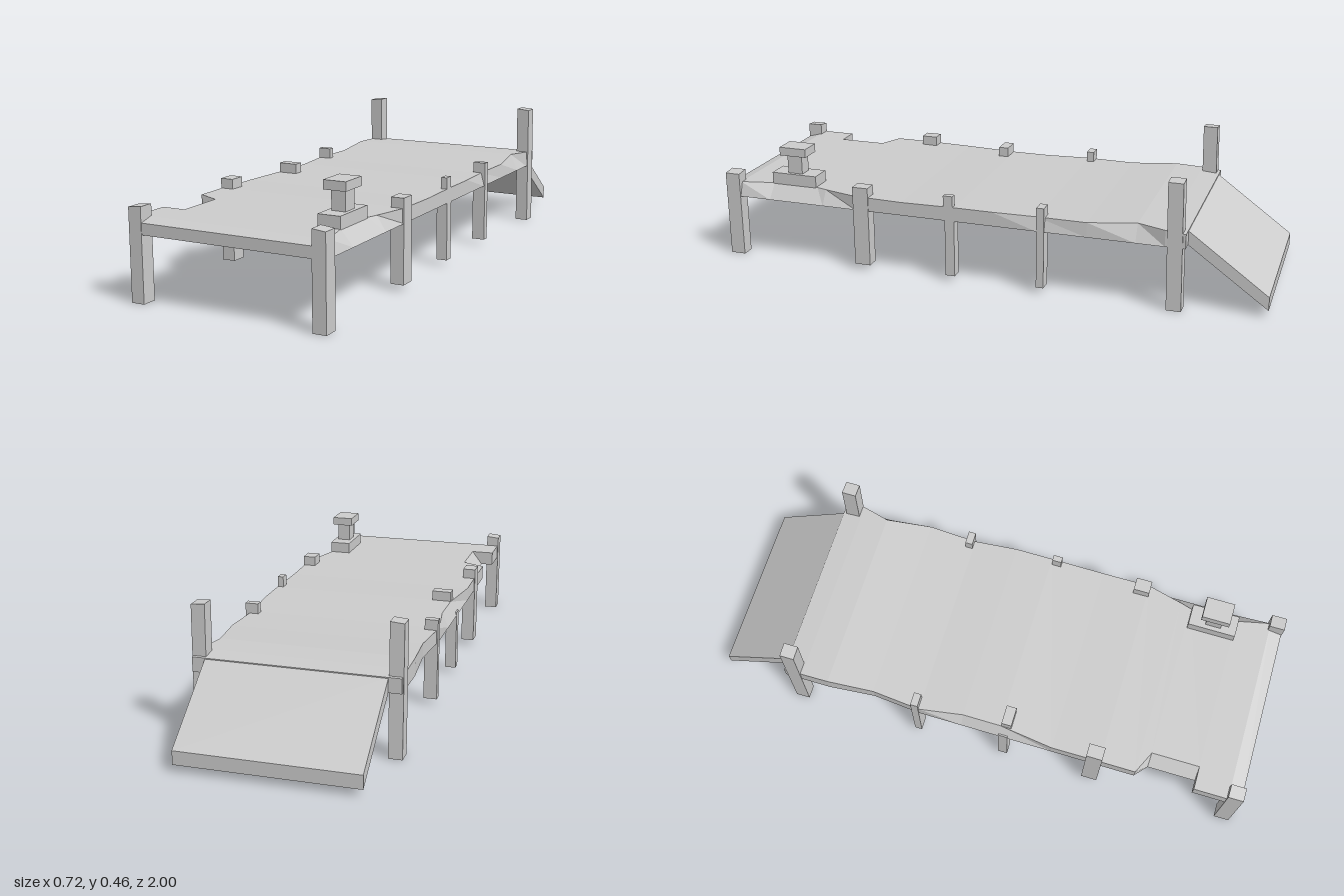
import * as THREE from 'three';

const material = new THREE.MeshStandardMaterial({ color: 0xcccccc, flatShading: true });

// Solid through four-cornered rings: each ring is LB, RB, RT, LT, rings in order of rising z (or y, see post)
function loft(name, rings) {
  const pos = [];
  const quad = (a, b, c, d) => pos.push(...a, ...b, ...c, ...a, ...c, ...d);
  for (let i = 0; i < rings.length - 1; i++) {
    for (let k = 0; k < 4; k++) {
      const n = (k + 1) % 4;
      quad(rings[i][k], rings[i][n], rings[i + 1][n], rings[i + 1][k]);
    }
  }
  const first = rings[0], last = rings[rings.length - 1];
  quad(first[3], first[2], first[1], first[0]);
  quad(last[0], last[1], last[2], last[3]);
  const geo = new THREE.BufferGeometry();
  geo.setAttribute('position', new THREE.Float32BufferAttribute(pos, 3));
  geo.computeVertexNormals();
  const mesh = new THREE.Mesh(geo, material);
  mesh.name = name;
  return mesh;
}

// Box given by its limits
function block(name, x0, x1, y0, y1, z0, z1) {
  const mesh = new THREE.Mesh(new THREE.BoxGeometry(x1 - x0, y1 - y0, z1 - z0), material);
  mesh.position.set((x0 + x1) / 2, (y0 + y1) / 2, (z0 + z1) / 2);
  mesh.name = name;
  return mesh;
}

// Post whose top leans in z and slopes down towards the outside
function post(name, x0, x1, y0, y1, z0, z1, lean = 0, slope = 0) {
  const mesh = block(name, x0, x1, y0, y1, z0, z1);
  const p = mesh.geometry.attributes.position;
  const side = Math.sign(x0 + x1);
  for (let i = 0; i < p.count; i++) {
    if (p.getY(i) < 0) continue;
    p.setZ(i, p.getZ(i) + lean);
    if (p.getX(i) * side > 0) p.setY(i, p.getY(i) - slope);
  }
  mesh.geometry.computeVertexNormals();
  return mesh;
}

export function createModel() {
  const model = new THREE.Group();

  // Deck stations: z, left top, left bottom, right top, right bottom, top height
  const stations = [
    [-0.72, -0.355, -0.355, 0.355, 0.355, 0.28],
    [-0.65, -0.355, -0.355, 0.353, 0.355, 0.286],
    [-0.55, -0.355, -0.355, 0.325, 0.355, 0.29],
    [-0.38, -0.34, -0.34, 0.35, 0.355, 0.28],
    [-0.2, -0.355, -0.355, 0.342, 0.355, 0.277],
    [-0.04, -0.33, -0.355, 0.355, 0.355, 0.28],
    [0.1, -0.33, -0.355, 0.355, 0.355, 0.28],
    [0.3, -0.355, -0.355, 0.355, 0.355, 0.277],
    [0.48, -0.355, -0.355, 0.355, 0.355, 0.28],
    [0.61, -0.355, -0.355, 0.322, 0.355, 0.28],
    [0.65, -0.27, -0.31, 0.31, 0.355, 0.28],
    [0.825, -0.27, -0.31, 0.31, 0.355, 0.28],
    [0.825, -0.355, -0.355, 0.31, 0.355, 0.28],
    [0.95, -0.355, -0.355, 0.338, 0.355, 0.28],
    [0.998, -0.355, -0.355, 0.35, 0.355, 0.267],
  ];
  model.add(loft('deck', stations.map(([z, lt, lb, rt, rb, y]) =>
    [[lb, 0.228, z], [rb, 0.228, z], [rt, y, z], [lt, y, z]])));

  // Ramp down from the back edge
  const rampRing = (z, y0, y1) => [[-0.31, y0, z], [0.31, y0, z], [0.31, y1, z], [-0.31, y1, z]];
  model.add(loft('ramp', [rampRing(-1, 0.025, 0.073), rampRing(-0.715, 0.23, 0.28)]));

  // Posts found on both sides
  for (const s of [-1, 1]) {
    const pair = (name, ...rest) => {
      const xs = [s * 0.31, s * 0.358].sort((a, b) => a - b);
      model.add(post(name, ...xs, ...rest));
    };
    pair('frontPost', 0, 0.32, 0.945, 1, 0, 0.005);
    pair('secondPost', 0.02, 0.315, 0.428, 0.487);
    pair('fourthPost', 0.02, 0.315, -0.23, -0.203);
    pair('backPost', 0, 0.46, -0.715, -0.663, 0.01, 0.004);
  }

  // Uneven third pair, its caps shifted against the legs
  model.add(block('thirdPostLeg', -0.355, -0.315, 0.02, 0.24, 0.1, 0.135));
  model.add(block('thirdPostLeg', 0.315, 0.355, 0.02, 0.25, 0.1, 0.135));
  model.add(block('thirdPostCap', -0.33, -0.26, 0.25, 0.315, 0.105, 0.142));
  model.add(block('thirdPostCap', 0.333, 0.355, 0.25, 0.32, 0.105, 0.14));

  // Mooring bollard
  const bollard = new THREE.Group();
  bollard.name = 'bollard';
  bollard.add(
    block('bollardBase', 0.232, 0.312, 0.27, 0.321, 0.655, 0.83),
    block('bollardStem', 0.248, 0.298, 0.32, 0.391, 0.715, 0.772),
    block('bollardCap', 0.232, 0.312, 0.39, 0.421, 0.692, 0.795),
  );
  model.add(bollard);

  return model;
}
